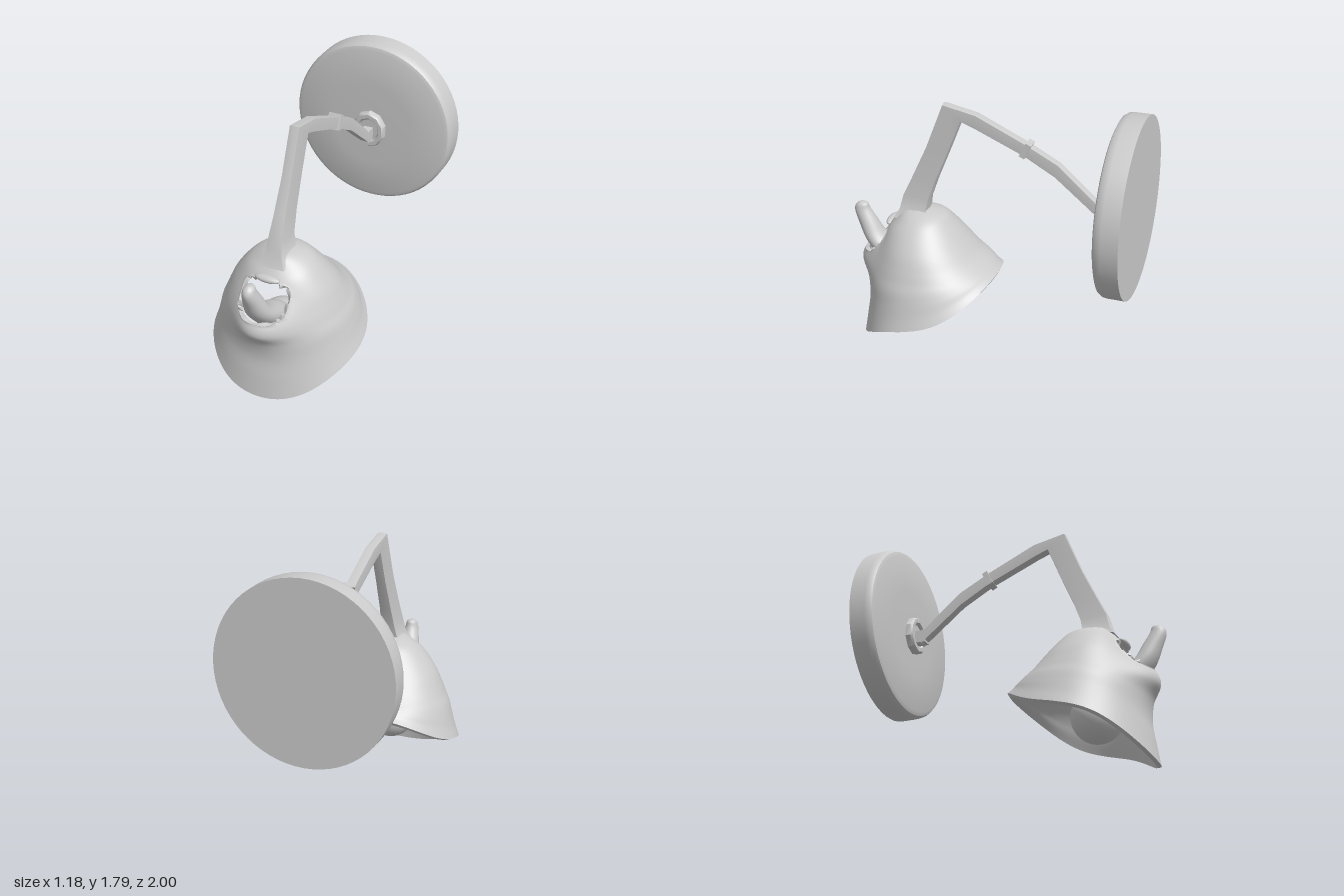
import * as THREE from 'three';
import { toCreasedNormals } from 'three/addons/utils/BufferGeometryUtils.js';

const material = new THREE.MeshStandardMaterial({ color: 0xcccccc, roughness: 0.8 });

// Loft through sections [frontZ, frontY, backZ, backY, halfWidth, extra].
// Each ring is a (super)ellipse spanned by its front and back points.
function loft(sections, { cols = 24, sub = 1, power = 1, caps = false, warp, inHole } = {}) {
  const front = new THREE.CatmullRomCurve3(
    sections.map(([z, y, , , w]) => new THREE.Vector3(w, y, z)), false, 'catmullrom');
  const back = new THREE.CatmullRomCurve3(
    sections.map(([, , z, y, , e = 0]) => new THREE.Vector3(e, y, z)), false, 'catmullrom');
  const rows = (sections.length - 1) * sub;
  const bend = (v) => Math.sign(v) * Math.abs(v) ** power;
  const points = [], index = [], inside = [];
  for (let i = 0; i <= rows; i++) {
    const f = front.getPoint(i / rows), b = back.getPoint(i / rows);
    for (let j = 0; j < cols; j++) {
      let a = (j / cols) * Math.PI * 2;
      if (a > Math.PI) a -= Math.PI * 2;
      const c = bend(Math.cos(a)), s = bend(Math.sin(a));
      const p = new THREE.Vector3(f.x * s,
        (f.y + b.y) / 2 + c * (f.y - b.y) / 2, (f.z + b.z) / 2 + c * (f.z - b.z) / 2);
      if (warp) warp(p, a, b.x, i / rows);
      inside.push(inHole ? inHole(p) : false);
      points.push(p);
    }
  }
  for (let i = 0; i < rows; i++) {
    for (let j = 0; j < cols; j++) {
      const k = (j + 1) % cols;
      const q = [i * cols + j, (i + 1) * cols + j, (i + 1) * cols + k, i * cols + k];
      if (q.every((v) => inside[v])) continue;
      index.push(q[0], q[1], q[2], q[0], q[2], q[3]);
    }
  }
  if (caps) {
    for (const [row, flip] of [[0, false], [rows, true]]) {
      const ring = points.slice(row * cols, (row + 1) * cols);
      const centre = ring.reduce((m, p) => m.add(p), new THREE.Vector3()).divideScalar(cols);
      const c = points.push(centre) - 1;
      for (let j = 0; j < cols; j++) {
        const u = row * cols + j, v = row * cols + (j + 1) % cols;
        index.push(c, flip ? v : u, flip ? u : v);
      }
    }
  }
  const geo = new THREE.BufferGeometry().setFromPoints(points);
  geo.setIndex(index);
  geo.computeVertexNormals();
  return geo;
}

// Turn an open surface into a shell with an inner skin and closed edges.
function thicken(geo, t) {
  const pos = geo.attributes.position, nor = geo.attributes.normal, n = pos.count;
  const points = [], inner = [], idx = Array.from(geo.index.array);
  for (let i = 0; i < n; i++) {
    const p = new THREE.Vector3().fromBufferAttribute(pos, i);
    points.push(p);
    inner.push(p.clone().addScaledVector(new THREE.Vector3().fromBufferAttribute(nor, i), -t));
  }
  const out = [...idx], edges = new Set();
  for (let i = 0; i < idx.length; i += 3) {
    const [a, b, c] = idx.slice(i, i + 3);
    out.push(a + n, c + n, b + n);
    for (const e of [[a, b], [b, c], [c, a]]) edges.add(e.join());
  }
  for (const e of edges) {
    const [a, b] = e.split(',').map(Number);
    if (!edges.has(`${b},${a}`)) out.push(b, a, a + n, b, a + n, b + n);
  }
  const shell = new THREE.BufferGeometry().setFromPoints([...points, ...inner]);
  shell.setIndex(out);
  return shell;
}

function add(parent, name, geo, x = 0, y = 0, z = 0) {
  const mesh = new THREE.Mesh(geo, material);
  mesh.name = name;
  mesh.position.set(x, y, z);
  parent.add(mesh);
  return mesh;
}

const lathe = (profile, segments) => toCreasedNormals(
  new THREE.LatheGeometry(profile.map(([r, h]) => new THREE.Vector2(r, h)), segments), 0.6);

export function createModel() {
  const lamp = new THREE.Group();
  lamp.name = 'wallLamp';

  // Round wall plate with a softened front edge
  const plate = add(lamp, 'wallPlate', lathe([[0, 0], [0.592, 0], [0.592, 0.11], [0.588, 0.14],
    [0.575, 0.16], [0.55, 0.17], [0.3, 0.178], [0, 0.18]], 64), 0, 1.19, -1);
  plate.rotation.x = Math.PI / 2;
  plate.scale.z = 1.018;

  // Faceted hub with a raised rim, and the pivot in it
  const hub = add(lamp, 'hub', lathe([[0, 0], [0.12, 0], [0.12, 0.045], [0.11, 0.06],
    [0.085, 0.06], [0.07, 0.04], [0, 0.04]], 10), 0, 1.165, -0.83);
  hub.rotation.x = Math.PI / 2;
  hub.scale.z = 1.12;
  add(lamp, 'pivot', new THREE.BoxGeometry(0.064, 0.09, 0.1), 0, 1.14, -0.76);

  // Bent arm, square in section, flaring into the shade
  const arm = loft([
    [-0.71, 1.2, -0.745, 1.08, 0.032],
    [-0.46, 1.42, -0.44, 1.33, 0.032],
    [-0.24, 1.535, -0.23, 1.45, 0.034],
    [0.1, 1.69, 0.12, 1.6, 0.035],
    [0.33, 1.735, 0.2, 1.63, 0.035],
    [0.45, 1.42, 0.29, 1.4, 0.036],
    [0.55, 1.2, 0.38, 1.18, 0.043],
    [0.62, 1.05, 0.43, 1.04, 0.052],
    [0.645, 0.95, 0.445, 0.96, 0.068],
    [0.68, 0.89, 0.42, 0.91, 0.1],
  ], { cols: 8, power: 0.2, caps: true });
  add(lamp, 'arm', toCreasedNormals(arm, 0.5));
  add(lamp, 'armCollar', new THREE.BoxGeometry(0.09, 0.105, 0.04), 0, 1.493, -0.24)
    .rotation.x = -0.45;

  // Tilted bell shade with a muzzle-like swelling around the front window
  const shade = loft([
    [0.55, 0.965, 0.53, 0.965, 0.01],
    [0.62, 0.945, 0.43, 0.955, 0.09],
    [0.67, 0.89, 0.34, 0.92, 0.18],
    [0.72, 0.83, 0.27, 0.85, 0.25],
    [0.76, 0.73, 0.18, 0.74, 0.33, 0.04],
    [0.8, 0.62, 0.11, 0.66, 0.38, 0.11],
    [0.83, 0.53, 0.06, 0.62, 0.41, 0.11],
    [0.85, 0.43, 0.03, 0.6, 0.44, 0.03],
    [0.86, 0.3, 0, 0.58, 0.465],
    [0.88, 0.15, -0.02, 0.565, 0.49],
    [0.9, 0.01, -0.05, 0.55, 0.52],
  ], {
    cols: 112, sub: 7, power: 0.95,
    warp(p, a, bump, v) {
      p.z += bump * Math.exp(-((a / 0.5) ** 2));
      p.y += 0.05 * v ** 4 * Math.sin(Math.PI * Math.cos(a));
    },
    // Rounded window: points inside it slide out to its outline
    inHole(p) {
      const dy = p.y - 0.715;
      const r = ((p.x / 0.17) ** 4 + (dy / 0.105) ** 4) ** 0.25;
      if (p.z < 0.6 || r >= 1) return false;
      const k = 1 / Math.max(r, 0.05);
      p.x *= k;
      p.y = 0.715 + dy * k;
      p.z -= 0.85 * dy * (k - 1);
      return true;
    },
  });
  add(lamp, 'shade', toCreasedNormals(thicken(shade, 0.028), 0.9));
  add(lamp, 'windowBrow', new THREE.SphereGeometry(1, 20, 12), 0, 0.835, 0.715)
    .scale.set(0.09, 0.025, 0.035);

  // Curved spike rising out of the window from the bulb
  add(lamp, 'spike', loft([
    [0.96, 0.93, 0.94, 0.93, 0.01],
    [0.99, 0.905, 0.905, 0.92, 0.035],
    [0.998, 0.86, 0.89, 0.88, 0.047],
    [0.965, 0.77, 0.84, 0.8, 0.067],
    [0.92, 0.67, 0.785, 0.71, 0.088],
    [0.85, 0.58, 0.71, 0.65, 0.1],
    [0.74, 0.47, 0.58, 0.58, 0.1],
    [0.64, 0.38, 0.47, 0.48, 0.1],
  ], { cols: 24, sub: 4, caps: true }));
  add(lamp, 'bulb', new THREE.SphereGeometry(0.175, 32, 20), 0, 0.355, 0.52);

  return lamp;
}
